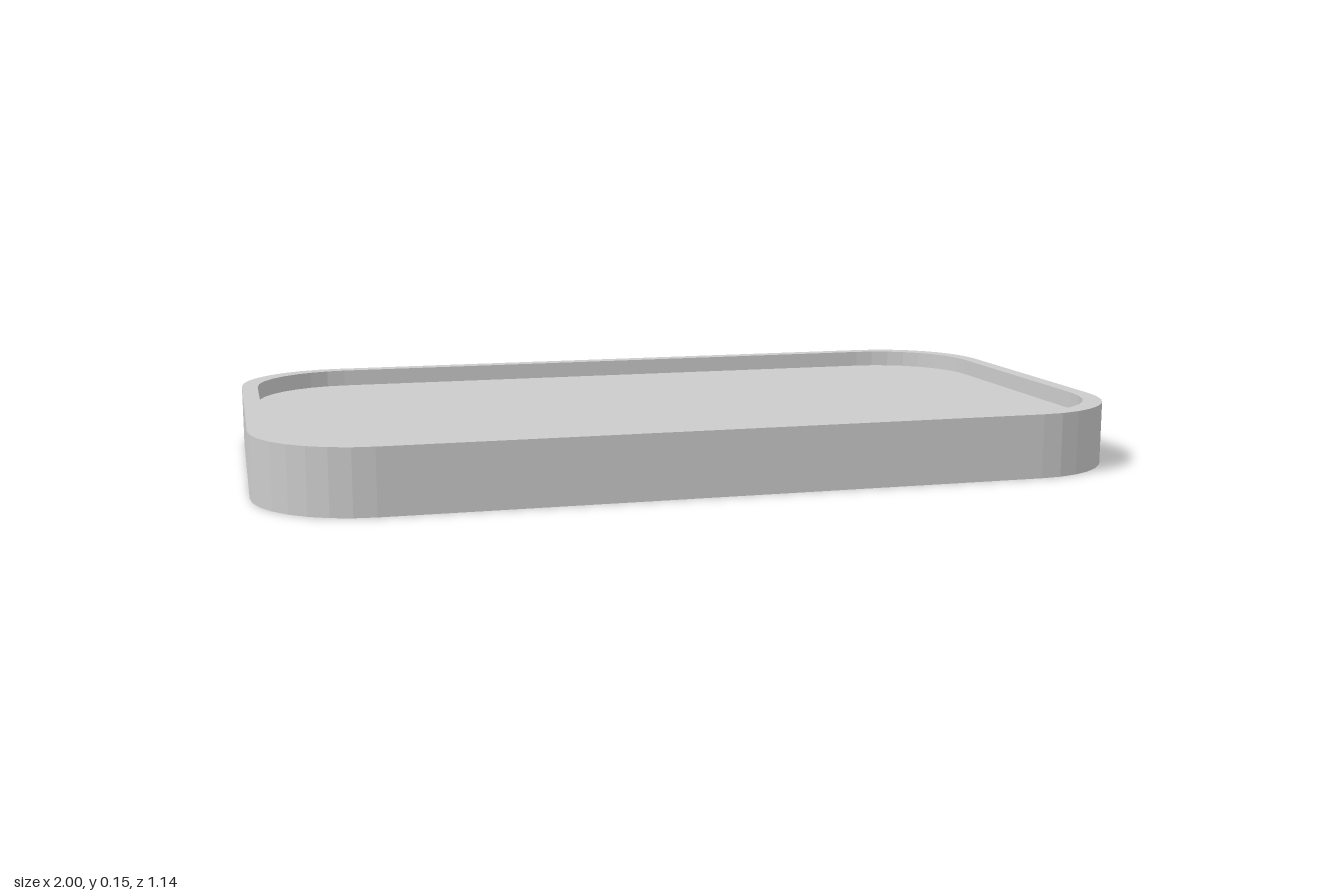
import * as THREE from 'three';

const CORNER_STEPS = 8;

// Rounded-rectangle loop at height y, counter-clockwise seen from above
function roundedLoop(halfX, halfZ, radius, y) {
  const points = [];
  const corners = [[1, -1], [-1, -1], [-1, 1], [1, 1]];
  corners.forEach(([sx, sz], quarter) => {
    for (let i = 0; i <= CORNER_STEPS; i++) {
      const a = (quarter + i / CORNER_STEPS) * Math.PI / 2;
      points.push(new THREE.Vector3(
        sx * (halfX - radius) + radius * Math.cos(a),
        y,
        sz * (halfZ - radius) - radius * Math.sin(a)
      ));
    }
  });
  return points;
}

// Skin consecutive loops with flat-shaded faces; a loop shrunk to a point closes an end
function skin(loops) {
  const positions = [];
  const addTriangle = (a, b, c) => {
    if (a.equals(b) || b.equals(c) || a.equals(c)) return;
    for (const p of [a, b, c]) positions.push(p.x, p.y, p.z);
  };
  for (let i = 0; i < loops.length - 1; i++) {
    const lower = loops[i], upper = loops[i + 1], n = lower.length;
    for (let j = 0; j < n; j++) {
      const k = (j + 1) % n;
      addTriangle(lower[j], lower[k], upper[k]);
      addTriangle(lower[j], upper[k], upper[j]);
    }
  }
  const geometry = new THREE.BufferGeometry();
  geometry.setAttribute('position', new THREE.Float32BufferAttribute(positions, 3));
  geometry.computeVertexNormals();
  return geometry;
}

export function createModel() {
  const halfX = 1, halfZ = 0.57, height = 0.148, radius = 0.25;
  const wall = 0.038, floorY = 0.108;

  const outer = y => roundedLoop(halfX, halfZ, radius, y);
  const inner = y => roundedLoop(halfX - wall, halfZ - wall, radius - wall * 0.5, y);
  const centre = y => outer(y).map(() => new THREE.Vector3(0, y, 0));

  // Underside, outer wall, rim, inner wall and recessed floor as one closed shell
  const tray = new THREE.Mesh(
    skin([centre(0), outer(0), outer(height), inner(height), inner(floorY), centre(floorY)]),
    new THREE.MeshStandardMaterial({ color: 0xcccccc, flatShading: true })
  );
  tray.name = 'tray';

  const group = new THREE.Group();
  group.name = 'shallowTray';
  group.add(tray);
  return group;
}
